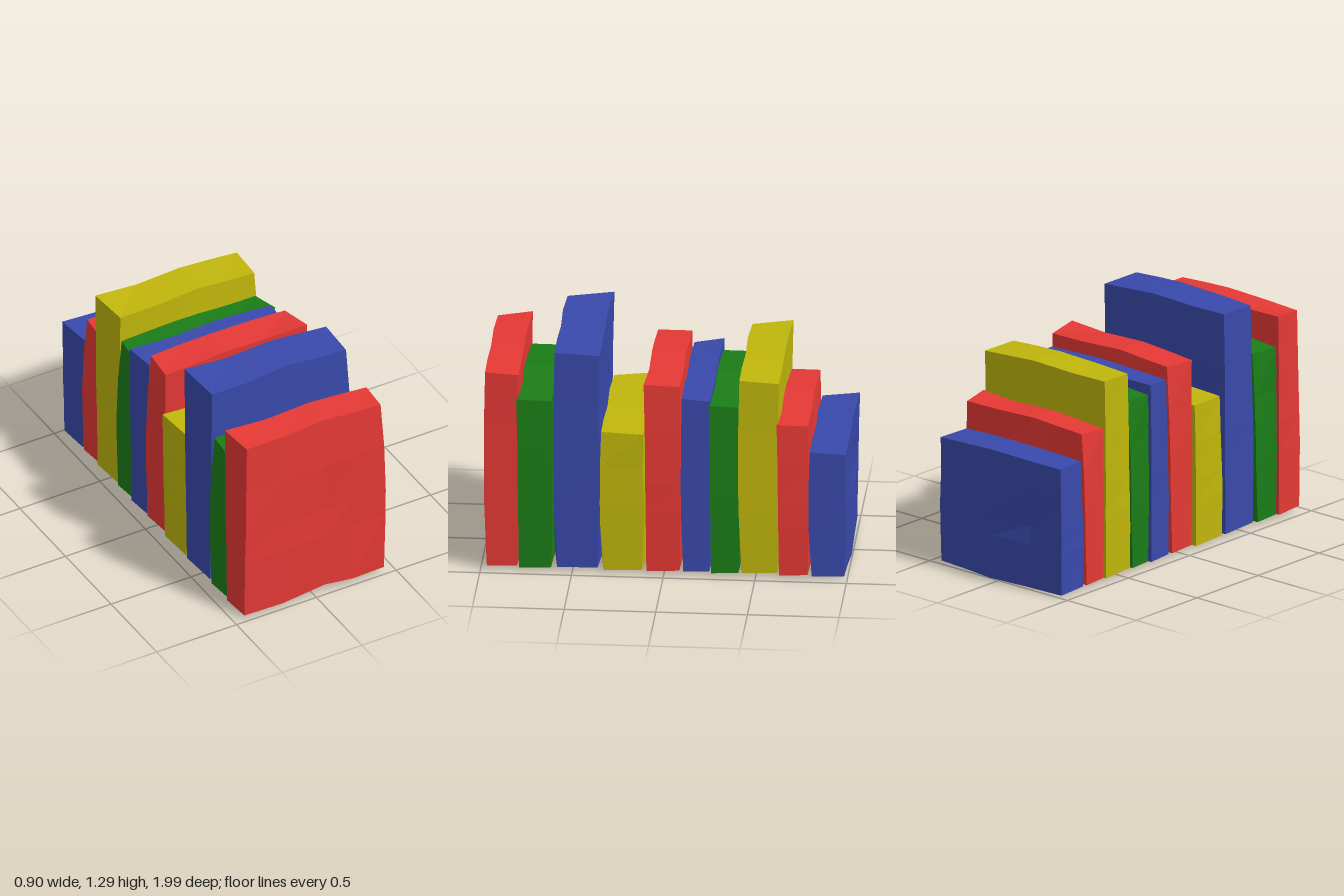
import * as THREE from 'three';

// Column positions across the cover and row positions up it (unit height)
const X = [-0.44, -0.2, 0.07, 0.24, 0.435];
const Y = [0, 0.33, 0.48, 0.74, 1];

// Edge heights of the wavy top and bottom, per column
const TOP_FRONT = [0.984, 0.99, 1.0, 0.992, 0.983];
const TOP_BACK = [1.0, 0.992, 1.0, 0.99, 0.978];
const BOTTOM_FRONT = [0.018, 0.018, 0.036, 0.028, 0.018];
const BOTTOM_BACK = [0.014, 0.009, 0, 0.009, 0.018];

// Outline of the two short ends, per row
const RIGHT_FRONT = [0.443, 0.445, 0.445, 0.435, 0.415];
const RIGHT_BACK = [0.43, 0.43, 0.43, 0.43, 0.43];
const LEFT_FRONT = [-0.435, -0.435, -0.43, -0.425, -0.42];
const LEFT_BACK = [-0.445, -0.447, -0.45, -0.45, -0.45];

// Half thickness of the dented covers, rows from bottom to top
const FRONT = [
  [0.42, 0.45, 0.4, 0.48, 0.38],
  [0.45, 0.48, 0.47, 0.42, 0.45],
  [0.45, 0.45, 0.42, 0.45, 0.46],
  [0.43, 0.45, 0.48, 0.49, 0.46],
  [0.42, 0.45, 0.41, 0.44, 0.44],
];
const BACK = [
  [0.43, 0.45, 0.48, 0.44, 0.42],
  [0.45, 0.4, 0.46, 0.43, 0.46],
  [0.46, 0.32, 0.47, 0.43, 0.47],
  [0.47, 0.43, 0.42, 0.46, 0.43],
  [0.5, 0.45, 0.47, 0.47, 0.45],
];

// A hand-hewn faceted slab, scaled to its height and thickness
function bookGeometry(height, thickness) {
  const geometry = new THREE.BoxGeometry(1, 1, 1, 4, 4, 1);
  const p = geometry.attributes.position;
  for (let k = 0; k < p.count; k++) {
    const i = Math.round((p.getX(k) + 0.5) * 4);
    const j = Math.round((p.getY(k) + 0.5) * 4);
    const front = p.getZ(k) > 0;
    let x = X[i];
    let y = Y[j];
    if (i === 0) x = (front ? LEFT_FRONT : LEFT_BACK)[j];
    if (i === 4) x = (front ? RIGHT_FRONT : RIGHT_BACK)[j];
    if (j === 0) y = (front ? BOTTOM_FRONT : BOTTOM_BACK)[i];
    if (j === 4) y = (front ? TOP_FRONT : TOP_BACK)[i];
    const z = front ? FRONT[j][i] : -BACK[j][i];
    p.setXYZ(k, x, y * height, z * thickness);
  }
  geometry.computeVertexNormals();
  return geometry;
}

const COLORS = { red: 0xe53935, green: 0x1b7d17, blue: 0x3949ab, yellow: 0xc0b60c };

// colour, front z, back z, height, turned back to front
const BOOKS = [
  ['red', 0.99, 0.785, 1.16, false],
  ['green', 0.805, 0.6, 1.0, true],
  ['blue', 0.615, 0.34, 1.288, false],
  ['yellow', 0.36, 0.1, 0.825, false],
  ['red', 0.11, -0.1, 1.107, true],
  ['blue', -0.085, -0.26, 1.035, false],
  ['green', -0.245, -0.42, 0.995, true],
  ['yellow', -0.395, -0.637, 1.153, false],
  ['red', -0.615, -0.797, 0.895, true],
  ['blue', -0.78, -1.0, 0.74, false],
];

export function createModel() {
  const model = new THREE.Group();
  model.name = 'bookRow';
  const materials = {};
  for (const name in COLORS) {
    materials[name] = new THREE.MeshStandardMaterial({ color: COLORS[name], flatShading: true });
  }
  BOOKS.forEach(([color, front, back, height, turned], n) => {
    const book = new THREE.Mesh(bookGeometry(height, front - back), materials[color]);
    book.name = `${color}Book${n + 1}`;
    book.position.z = (front + back) / 2;
    if (turned) book.rotation.y = Math.PI;
    model.add(book);
  });
  return model;
}
